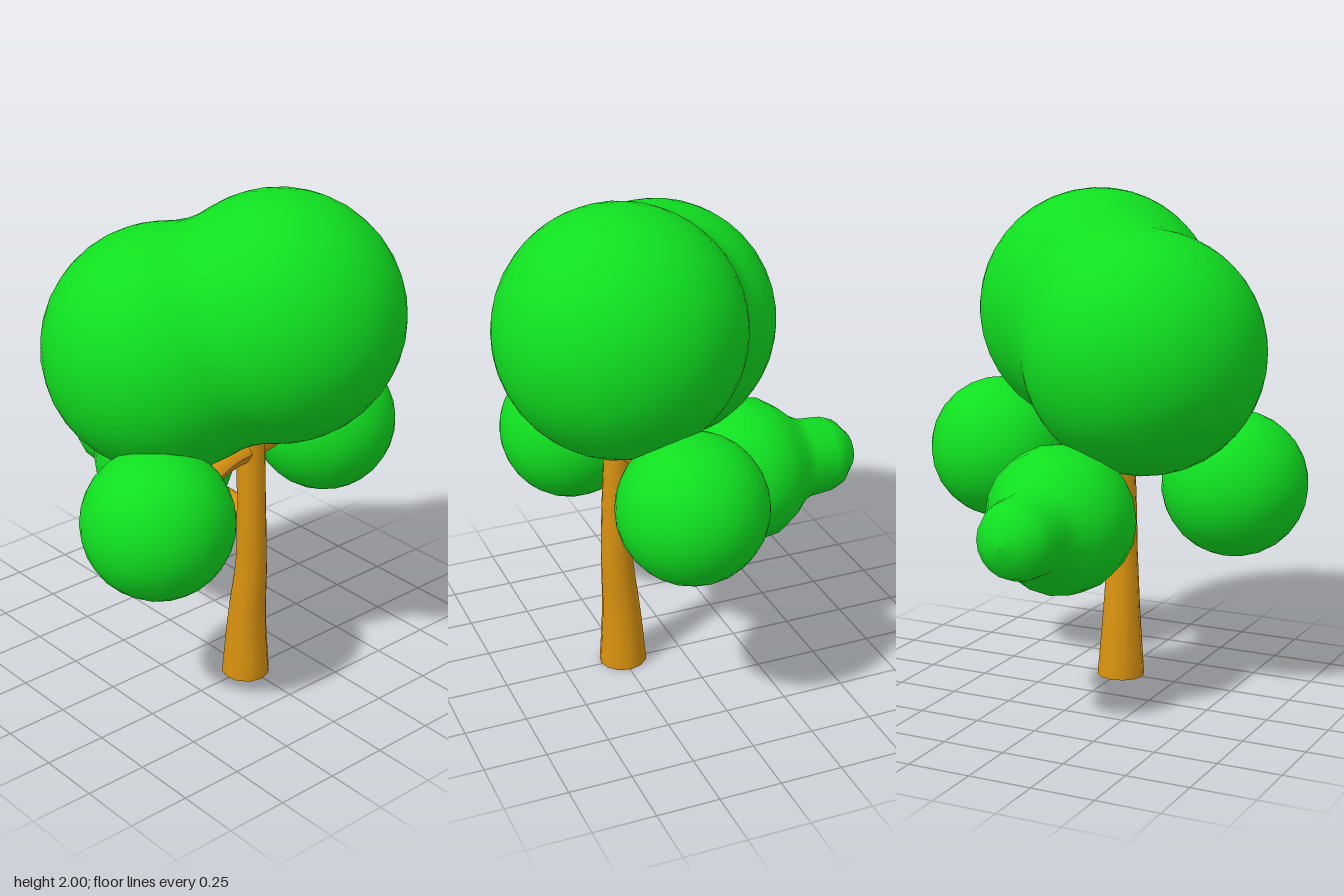
import * as THREE from 'three';
import { mergeVertices } from 'three/addons/utils/BufferGeometryUtils.js';

const V = (x, y, z) => new THREE.Vector3(x, y, z);
const leaf = new THREE.MeshStandardMaterial({ color: 0x10e020 });
const bark = new THREE.MeshStandardMaterial({ color: 0xd9920f });

function add(parent, name, geometry, material) {
  const mesh = new THREE.Mesh(geometry, material);
  mesh.name = name;
  parent.add(mesh);
  return mesh;
}

// Tapered limb: a unit tube whose rings are scaled to the interpolated radii
function limb(points, radii, rings = 12, sides = 12) {
  const curve = new THREE.CatmullRomCurve3(points);
  const geo = new THREE.TubeGeometry(curve, rings, 1, sides);
  const pos = geo.attributes.position, p = V(0, 0, 0);
  for (let i = 0; i < pos.count; i++) {
    const t = Math.floor(i / (sides + 1)) / rings;
    const c = curve.getPointAt(t);
    const s = t * (radii.length - 1), k = Math.min(Math.floor(s), radii.length - 2);
    const r = THREE.MathUtils.lerp(radii[k], radii[k + 1], s - k);
    p.fromBufferAttribute(pos, i).sub(c).multiplyScalar(r).add(c);
    pos.setXYZ(i, p.x, p.y, p.z);
  }
  geo.computeVertexNormals();
  return geo;
}

// Two balls melted together: push each vertex out to the blended surface
function blendedBalls(a, ra, b, rb, k) {
  const centre = a.clone().lerp(b, 0.5);
  let geo = new THREE.IcosahedronGeometry(1, 8);
  geo.deleteAttribute('uv');
  geo.deleteAttribute('normal');
  geo = mergeVertices(geo, 1e-4);
  const pos = geo.attributes.position, dir = V(0, 0, 0), p = V(0, 0, 0);
  const field = (q) => {
    const da = q.distanceTo(a) - ra, db = q.distanceTo(b) - rb;
    const h = Math.max(k - Math.abs(da - db), 0) / k;
    return Math.min(da, db) - h * h * k * 0.25;
  };
  for (let i = 0; i < pos.count; i++) {
    dir.fromBufferAttribute(pos, i).normalize();
    let lo = 0, hi = 1.2;
    for (let n = 0; n < 24; n++) {
      const mid = (lo + hi) / 2;
      if (field(p.copy(centre).addScaledVector(dir, mid)) < 0) lo = mid; else hi = mid;
    }
    p.copy(centre).addScaledVector(dir, lo);
    pos.setXYZ(i, p.x, p.y, p.z);
  }
  geo.computeVertexNormals();
  return geo;
}

export function createModel() {
  const tree = new THREE.Group();
  tree.name = 'tree';

  // Trunk with closed base
  add(tree, 'trunk', limb(
    [V(0.245, 0, 0.01), V(0.25, 0.25, 0.01), V(0.267, 0.5, 0.005), V(0.265, 0.75, 0.005), V(0.25, 1.06, 0)],
    [0.097, 0.077, 0.062, 0.057, 0.058], 14), bark);
  const base = add(tree, 'trunkBase', new THREE.CircleGeometry(0.097, 12), bark);
  base.rotation.x = Math.PI / 2;
  base.position.set(0.245, 0, 0.01);

  // Branches reaching into the foliage
  const branches = {
    frontBranch: [V(0.25, 1.0, -0.02), V(0.26, 0.985, 0.12), V(0.28, 0.94, 0.26), V(0.285, 0.88, 0.4)],
    backBranch: [V(0.25, 1.0, 0.02), V(0.23, 1.0, -0.12), V(0.19, 1.0, -0.26), V(0.15, 0.96, -0.42)],
    rightBranch: [V(0.28, 0.7, 0), V(0.15, 0.72, 0), V(0.04, 0.73, 0), V(-0.14, 0.77, 0)],
  };
  for (const [name, path] of Object.entries(branches)) {
    add(tree, name, limb(path, [0.05, 0.043, 0.04, 0.035], 8, 8), bark);
  }

  // Large double crown
  add(tree, 'crown', blendedBalls(V(0.28, 1.52, -0.11), 0.48, V(0.01, 1.395, 0.215), 0.475, 0.07), leaf);

  // Round side clumps
  const clumps = [
    ['frontClump', 0.285, 0.853, 0.488, 0.292],
    ['backClump', 0.147, 0.938, -0.49, 0.29],
  ];
  for (const [name, x, y, z, r] of clumps) {
    add(tree, name, new THREE.IcosahedronGeometry(r, 4), leaf).position.set(x, y, z);
  }

  // Right clump with a stubby knob, turned about the x axis
  const profile = [[0.002, -0.3], [0.09, -0.28], [0.17, -0.24], [0.235, -0.175], [0.28, -0.09], [0.293, 0],
    [0.28, 0.09], [0.235, 0.16], [0.185, 0.215], [0.162, 0.26], [0.154, 0.36], [0.135, 0.41],
    [0.075, 0.465], [0.002, 0.478]].map(([r, h]) => new THREE.Vector2(r, h));
  const knob = add(tree, 'rightClump', new THREE.LatheGeometry(profile, 20), leaf);
  knob.rotation.z = Math.PI / 2;
  knob.position.set(-0.28, 0.777, 0);

  return tree;
}
